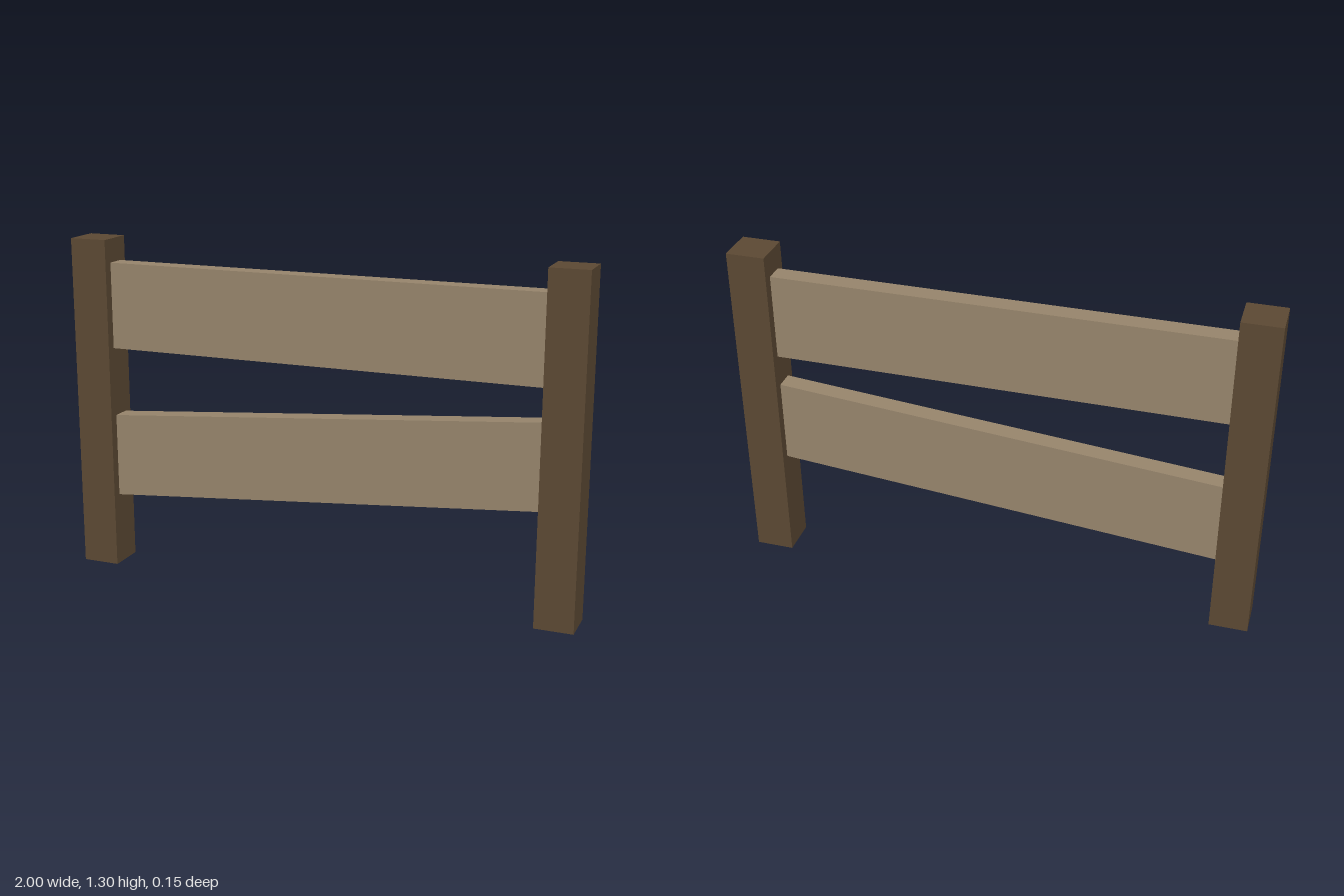
import * as THREE from 'three';

export function createModel() {
  const model = new THREE.Group();
  model.name = 'fenceSection';

  const darkWood = new THREE.MeshStandardMaterial({ color: 0x5c4933 });
  darkWood.name = 'darkWood';
  const lightWood = new THREE.MeshStandardMaterial({ color: 0x97856c });
  lightWood.name = 'lightWood';

  const POST = 0.147, HEIGHT = 1.305;

  function addBox(name, material, size, position, tilt = 0) {
    const mesh = new THREE.Mesh(new THREE.BoxGeometry(...size), material);
    mesh.name = name;
    mesh.position.set(...position);
    mesh.rotation.z = tilt;
    model.add(mesh);
  }

  // Square posts, one at each end
  for (const [name, side] of [['leftPost', 1], ['rightPost', -1]]) {
    addBox(name, darkWood, [POST, HEIGHT, POST], [side * (1 - POST / 2), HEIGHT / 2, 0]);
  }

  // Level upper plank, its ends set into the posts
  addBox('upperPlank', lightWood, [1.76, 0.334, 0.073], [0, 1.047, 0]);

  // Lower plank, slipped down at the right post
  addBox('lowerPlank', lightWood, [1.77, 0.326, 0.073], [0, 0.52, 0], Math.atan2(0.145, 1.706));

  return model;
}
